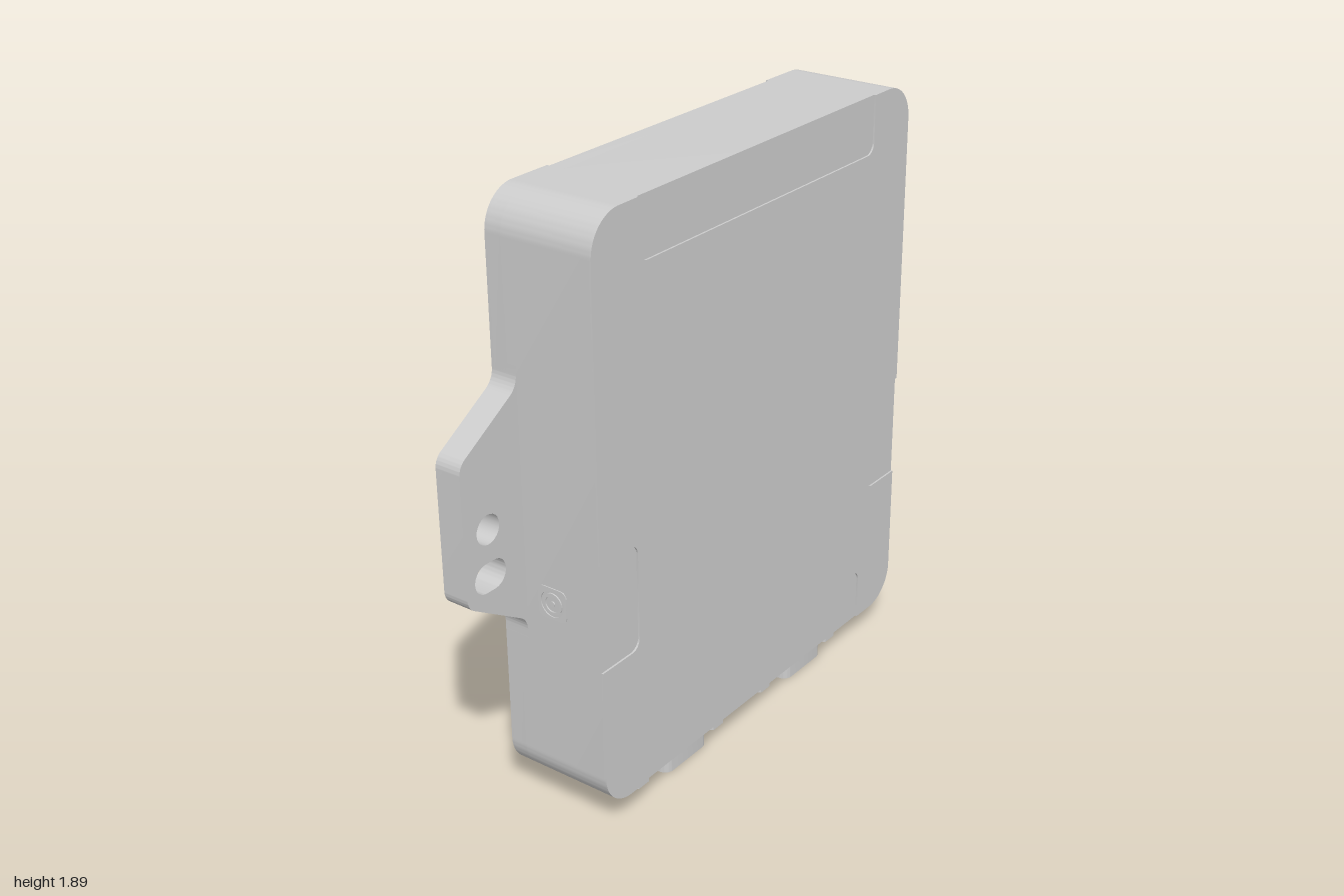
import * as THREE from 'three';
import { toCreasedNormals } from 'three/addons/utils/BufferGeometryUtils.js';

const material = new THREE.MeshStandardMaterial({ color: 0xcccccc });
const W = 0.765, Y0 = 0.09, Y1 = 1.89, R = 0.115;
const SCREWS = [[0.645, 1.45], [0.645, 0.45]];

function add(parent, name, geometry) {
  const mesh = new THREE.Mesh(geometry, material);
  mesh.name = name;
  parent.add(mesh);
  return mesh;
}

// Outline from [x, y, cornerRadius] points
function outline(points, Type = THREE.Shape) {
  const shape = new Type();
  const n = points.length;
  points.forEach(([x, y, r = 0], i) => {
    const p = new THREE.Vector2(x, y);
    const toward = ([a, b]) => new THREE.Vector2(a, b).sub(p).normalize();
    const u = toward(points[(i + n - 1) % n]), v = toward(points[(i + 1) % n]);
    // tangent length for a true-radius fillet
    const t = r / Math.tan(u.angleTo(v) / 2);
    const a = p.clone().addScaledVector(u, t), b = p.clone().addScaledVector(v, t);
    if (i === 0) shape.moveTo(a.x, a.y); else shape.lineTo(a.x, a.y);
    if (r > 0) {
      const bis = u.clone().add(v).normalize();
      const c = p.clone().addScaledVector(bis, Math.hypot(r, t));
      const cross = u.x * v.y - u.y * v.x;
      shape.absarc(c.x, c.y, r, Math.atan2(a.y - c.y, a.x - c.x), Math.atan2(b.y - c.y, b.x - c.x), cross > 0);
    }
  });
  shape.closePath();
  return shape;
}

function circle(x, y, r) {
  return new THREE.Path().absarc(x, y, r, 0, Math.PI * 2, true);
}

function slab(shape, z0, z1) {
  const g = new THREE.ExtrudeGeometry(shape, { depth: z1 - z0, bevelEnabled: false, curveSegments: 12 });
  g.translate(0, 0, z0);
  return toCreasedNormals(g, 0.5);
}

// Extrusion hanging down from yTop; shape y becomes z
function hanging(shape, yTop, depth) {
  return slab(shape, 0, depth).rotateX(Math.PI / 2).translate(0, yTop, 0);
}

const bodyShape = () => outline([[-W, Y0, R], [W, Y0, R], [W, Y1, R], [-W, Y1, R]]);

// Thin front skin with a shallow open notch in the middle of every edge
function frontSkin() {
  const nx = 0.57, nt = 1.71, nb = 0.27, sx = 0.6, sa = 0.56, sb = 0.9, r = 0.035;
  return outline([
    [-W, Y0, R], [-nx, Y0], [-nx, nb, r], [nx, nb, r], [nx, Y0],
    [W, Y0, R], [W, sa], [sx, sa, r], [sx, sb, r], [W, sb],
    [W, Y1, R], [nx, Y1], [nx, nt, r], [-nx, nt, r], [-nx, Y1],
    [-W, Y1, R], [-W, sb], [-sx, sb, r], [-sx, sa, r], [-W, sa],
  ]);
}

// Domed socket screw, facing the back
function screwGeometry() {
  const profile = [[0.085, 0], [0.08, 0.012], [0.066, 0.006], [0.062, 0.018], [0.05, 0.034],
    [0.036, 0.042], [0.022, 0.044], [0.022, 0.018], [0, 0.018]];
  const g = new THREE.LatheGeometry(profile.map(([x, y]) => new THREE.Vector2(x, y)), 32);
  return toCreasedNormals(g.rotateX(-Math.PI / 2), 0.5);
}

function mountingEar(s) {
  const shape = outline([
    [s * (W - 0.02), 1.42], [s * W, 1.42], [s * W, 1.36, 0.06], [s * 1.0, 1.215, 0.05],
    [s * 1.0, 0.785, 0.05], [s * W, 0.64, 0.06], [s * W, 0.58], [s * (W - 0.02), 0.58],
  ]);
  shape.holes.push(circle(s * 0.905, 0.99, 0.045));
  if (s > 0) {
    shape.holes.push(circle(0.905, 0.845, 0.045));
  } else {
    const slot = new THREE.Path();
    slot.absarc(-0.888, 0.845, 0.045, -Math.PI / 2, Math.PI / 2, false);
    slot.absarc(-0.922, 0.845, 0.045, Math.PI / 2, Math.PI * 1.5, false);
    slot.closePath();
    shape.holes.push(slot);
  }
  return slab(shape, -0.18, -0.095);
}

// Small coaxial socket with a square flange on the side wall
function sideSocket(s) {
  const g = new THREE.Group();
  g.name = 'sideSocket';
  const h = 0.05;
  const flange = outline([[-h, -h, 0.02], [h, -h, 0.02], [h, h, 0.02], [-h, h, 0.02]]);
  flange.holes.push(circle(0, 0, 0.042));
  add(g, 'socketFlange', slab(flange, -0.01, 0.003));
  const barrel = new THREE.Shape().absarc(0, 0, 0.034, 0, Math.PI * 2, false);
  barrel.holes.push(circle(0, 0, 0.025));
  add(g, 'socketBarrel', slab(barrel, -0.01, 0.004));
  add(g, 'socketPin', new THREE.CylinderGeometry(0.008, 0.008, 0.012, 16).rotateX(Math.PI / 2).translate(0, 0, -0.002));
  g.position.set(s * W, 0.725, 0.002);
  g.rotation.y = s * Math.PI / 2;
  return g;
}

// Nine-pin connector with its two hexagonal standoffs
function pinConnector(x) {
  const g = new THREE.Group();
  g.name = 'pinConnector';
  const trapezoid = (k, Type) => outline([
    [-0.12 + k, -0.065 + k, 0.03 - k / 2], [0.12 - k, -0.065 + k, 0.03 - k / 2],
    [0.1 - k, 0.065 - k, 0.03 - k / 2], [-0.1 + k, 0.065 - k, 0.03 - k / 2],
  ], Type);
  const shell = trapezoid(0);
  shell.holes.push(trapezoid(0.014, THREE.Path));
  add(g, 'connectorShell', hanging(shell, Y0, 0.087));
  add(g, 'connectorFloor', hanging(trapezoid(0.01), Y0, 0.025));
  for (const [count, z] of [[5, -0.02], [4, 0.02]]) {
    for (let i = 0; i < count; i++) {
      add(g, 'pin', new THREE.CylinderGeometry(0.008, 0.006, 0.05, 10))
        .position.set((i - (count - 1) / 2) * 0.036, 0.045, z);
    }
  }
  // Standoffs with threaded bores
  for (const s of [-1, 1]) {
    const hex = outline([0, 1, 2, 3, 4, 5].map((i) => {
      const a = i * Math.PI / 3;
      return [s * 0.19 + 0.049 * Math.cos(a), 0.049 * Math.sin(a)];
    }));
    hex.holes.push(circle(s * 0.19, 0, 0.026));
    add(g, 'standoff', hanging(hex, Y0, 0.084));
    add(g, 'standoffBore', new THREE.CylinderGeometry(0.03, 0.03, 0.03, 20)).position.set(s * 0.19, 0.07, 0);
  }
  g.position.set(x, 0, 0.065);
  return g;
}

export function createModel() {
  const model = new THREE.Group();
  model.name = 'controlUnit';

  // Housing: solid core, front skin, back layer with counterbores
  add(model, 'housing', slab(bodyShape(), -0.125, 0.169));
  add(model, 'frontSkin', slab(frontSkin(), 0.169, 0.175));
  const back = bodyShape();
  for (const s of [-1, 1]) for (const [x, y] of SCREWS) back.holes.push(circle(s * x, y, 0.085));
  add(model, 'backLayer', slab(back, -0.172, -0.125));

  for (const s of [-1, 1]) {
    // Raised strip, ear and screws on each side of the back
    const strip = outline([[s * 0.51, Y0], [s * W, Y0, R], [s * W, Y1, R], [s * 0.51, Y1]]);
    for (const [x, y] of SCREWS) strip.holes.push(circle(s * x, y, 0.085));
    add(model, 'backStrip', slab(strip, -0.18, -0.172));
    add(model, 'mountingEar', mountingEar(s));
    for (const [x, y] of SCREWS) {
      add(model, 'screw', screwGeometry()).position.set(s * x, y, -0.125);
    }
    model.add(sideSocket(s));
    model.add(pinConnector(s * 0.32));
  }
  return model;
}
